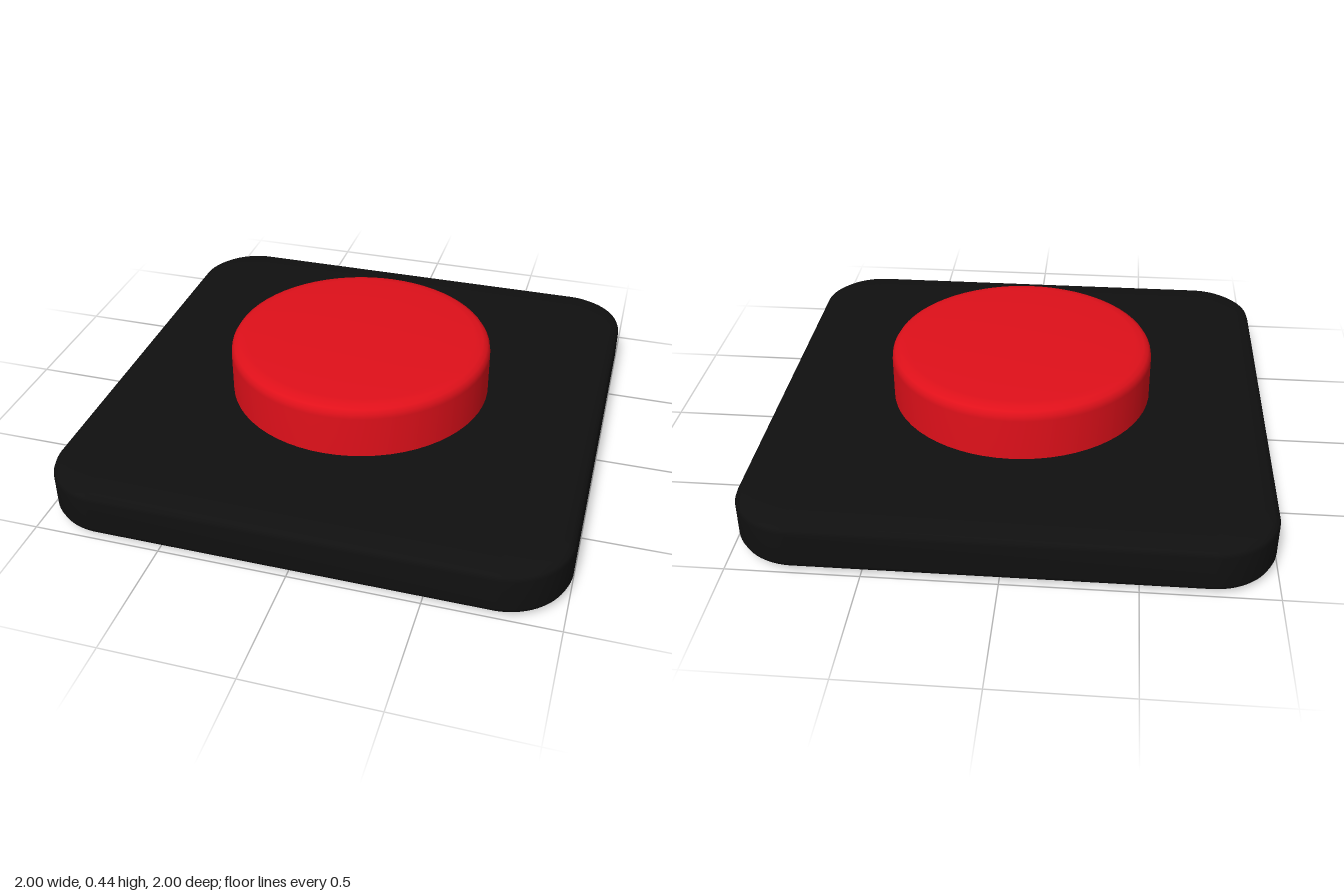
import * as THREE from 'three';
import { mergeVertices } from 'three/addons/utils/BufferGeometryUtils.js';

const points = (list) => list.map(([r, y]) => new THREE.Vector2(r, y));

// Rounded square slab: a lathed edge profile whose quadrants are pushed out to the corners
function roundedSlab(profile, shift, perCorner) {
  const segments = perCorner * 4;
  let geometry = new THREE.LatheGeometry(points(profile), segments, Math.PI / segments);
  const pos = geometry.attributes.position;
  for (let i = 0; i < pos.count; i++) {
    const x = pos.getX(i), z = pos.getZ(i);
    if (Math.hypot(x, z) < 1e-5) continue; // the centre of each cap stays put
    pos.setX(i, x + Math.sign(x) * shift);
    pos.setZ(i, z + Math.sign(z) * shift);
  }
  geometry.deleteAttribute('uv');
  geometry.deleteAttribute('normal');
  geometry = mergeVertices(geometry, 1e-5);
  geometry.computeVertexNormals();
  return geometry;
}

export function createModel() {
  const group = new THREE.Group();
  const add = (name, geometry, color) => {
    const mesh = new THREE.Mesh(geometry, new THREE.MeshStandardMaterial({ color }));
    mesh.name = name;
    group.add(mesh);
  };

  // Base with softly rounded rims, mirrored about its mid height
  const height = 0.215;
  const lower = [[0, 0], [0.05, 0], [0.13, 0.003], [0.19, 0.009], [0.225, 0.017], [0.243, 0.028], [0.25, 0.045]];
  const upper = lower.map(([r, y]) => [r, height - y]).reverse();
  add('base', roundedSlab([...lower, ...upper], 0.75, 20), 0x101010);

  // Round button with a soft rim and a slightly domed top
  add('button', new THREE.LatheGeometry(points([
    [0, 0.15], [0.53, 0.15], [0.53, 0.21], [0.53, 0.385], [0.527, 0.405], [0.517, 0.421],
    [0.498, 0.431], [0.465, 0.436], [0.3, 0.442], [0.12, 0.445], [0, 0.445],
  ]), 64), 0xe0101a);

  return group;
}
